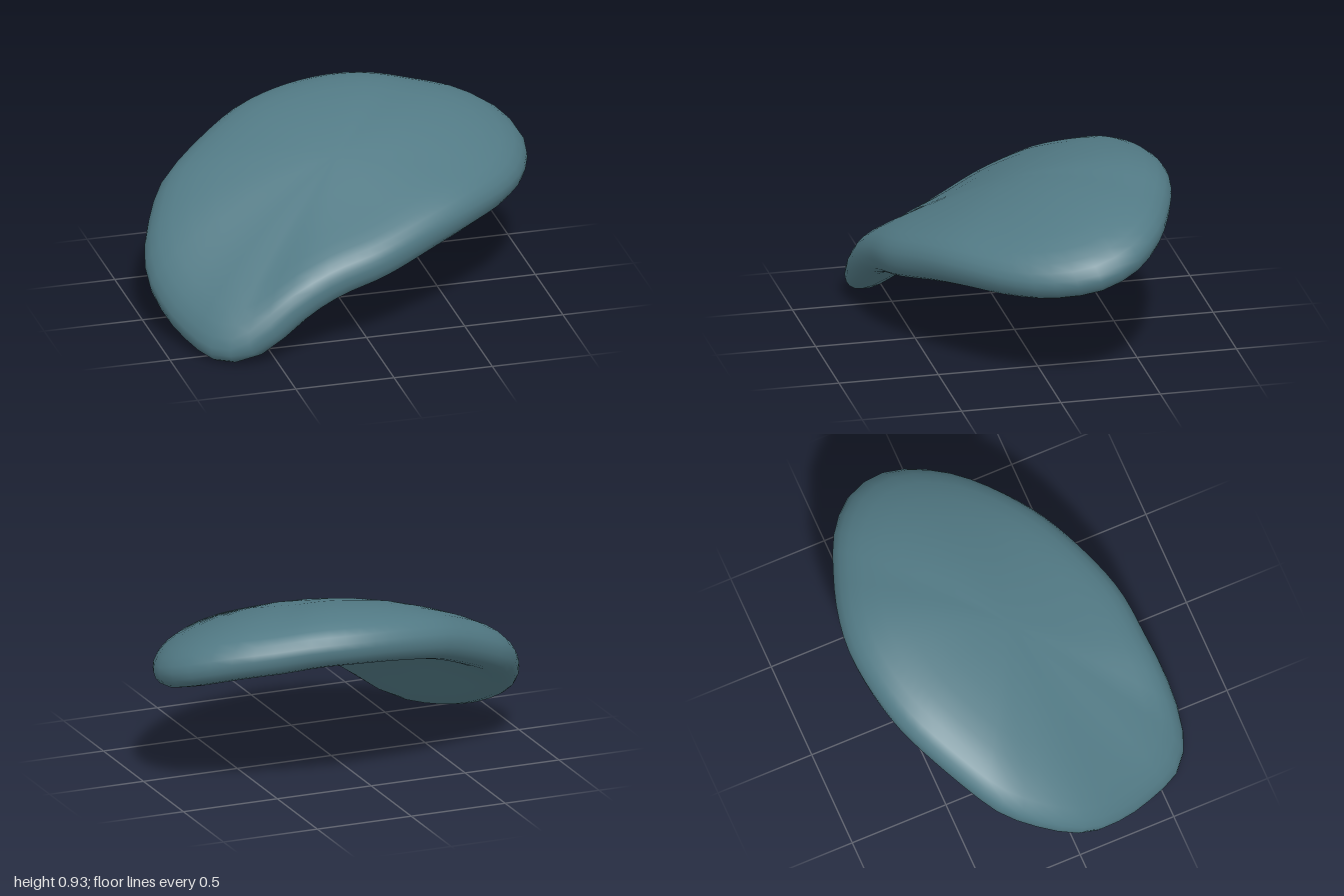
import * as THREE from 'three';
import { mergeVertices } from 'three/addons/utils/BufferGeometryUtils.js';

// Rim of the shell: x, y, z, going round from the left tip
const RIM = [
  [0.995, 0.59, -0.2], [0.93, 0.55, 0.02], [0.8, 0.535, 0.2], [0.57, 0.53, 0.4], [0.35, 0.5, 0.53],
  [0.05, 0.43, 0.655], [-0.2, 0.365, 0.69], [-0.4, 0.27, 0.715], [-0.56, 0.14, 0.715], [-0.68, 0.05, 0.68],
  [-0.8, 0.025, 0.59], [-0.88, 0.055, 0.43], [-0.94, 0.11, 0.28], [-0.985, 0.215, 0.08], [-0.965, 0.315, -0.07],
  [-0.85, 0.47, -0.3], [-0.775, 0.53, -0.38], [-0.4, 0.705, -0.61], [-0.25, 0.74, -0.67], [-0.05, 0.765, -0.715],
  [0.17, 0.775, -0.73], [0.37, 0.77, -0.7], [0.56, 0.745, -0.64], [0.78, 0.71, -0.54], [0.94, 0.65, -0.39],
];
const CENTRE_Y = 0.68, SLOPE_X = 0.17, SLOPE_Z = -0.39;
const SIDES = 60;

const TAU = Math.PI * 2;
const wrap = (a) => ((a % TAU) + TAU) % TAU;
const curve = new THREE.CatmullRomCurve3(RIM.map((p) => new THREE.Vector3(...p)), true);
const samples = curve.getPoints(500).slice(0, -1)
  .map((p) => ({ a: wrap(Math.atan2(p.z, p.x)), r: Math.hypot(p.x, p.z), y: p.y }))
  .sort((p, q) => p.a - q.a);

// Radius and height of the rim in a given direction
function rimAt(angle) {
  const a = wrap(angle), n = samples.length;
  let k = samples.findIndex((s) => s.a > a);
  if (k < 0) k = 0;
  const p = samples[(k + n - 1) % n], q = samples[k];
  const t = wrap(a - p.a) / (wrap(q.a - p.a) || 1);
  return { r: p.r + (q.r - p.r) * t, y: p.y + (q.y - p.y) * t };
}

// How far the rim departs from the tilted base plane
function residual(angle) {
  const { r, y } = rimAt(angle);
  return y - CENTRE_Y - SLOPE_X * r * Math.cos(angle) - SLOPE_Z * r * Math.sin(angle);
}

// Height of the domed middle surface
function midHeight(x, z) {
  const a = Math.atan2(z, x), s = Math.hypot(x, z) / rimAt(a).r;
  const e = residual(a), o = residual(a + Math.PI);
  return CENTRE_Y + SLOPE_X * x + SLOPE_Z * z + (e + o) / 2 * s * s + (e - o) / 2 * s ** 3;
}

// Blunt rounded edge; the underside is hollower towards the middle
const edge = (s) => Math.sqrt(1 - s ** 10);
const topOffset = (s) => 0.13 * edge(s);
const underOffset = (s) => -(0.08 + 0.04 * s * s) * edge(s);

function shellGeometry() {
  const steps = [0, 0.15, 0.3, 0.45, 0.6, 0.72, 0.82, 0.89, 0.94, 0.975, 0.993];
  // Rings run from the top centre, over the rim, to the underside centre
  const rings = [
    ...steps.map((s) => [s, topOffset(s)]),
    [1, 0],
    ...steps.slice().reverse().map((s) => [s, underOffset(s)]),
  ];
  const positions = [], index = [], d = 0.02;
  for (const [s, offset] of rings) {
    for (let i = 0; i < SIDES; i++) {
      const a = (i / SIDES) * TAU, r = rimAt(a).r * s;
      const x = r * Math.cos(a), z = r * Math.sin(a);
      const normal = new THREE.Vector3(
        (midHeight(x - d, z) - midHeight(x + d, z)) / (2 * d), 1,
        (midHeight(x, z - d) - midHeight(x, z + d)) / (2 * d)).normalize();
      positions.push(...new THREE.Vector3(x, midHeight(x, z), z).addScaledVector(normal, offset).toArray());
    }
  }
  for (let j = 0; j < rings.length - 1; j++) {
    for (let i = 0; i < SIDES; i++) {
      const k = (i + 1) % SIDES;
      const a = j * SIDES + i, b = j * SIDES + k, c = a + SIDES, e = b + SIDES;
      if (j > 0) index.push(a, b, c);
      if (j < rings.length - 2) index.push(b, e, c);
    }
  }
  let geometry = new THREE.BufferGeometry();
  geometry.setAttribute('position', new THREE.Float32BufferAttribute(positions, 3));
  geometry.setIndex(index);
  geometry = mergeVertices(geometry, 1e-5);

  // Stand the lowest point on y = 0
  geometry.computeBoundingBox();
  geometry.translate(0, -geometry.boundingBox.min.y, 0);
  geometry.computeVertexNormals();
  return geometry;
}

export function createModel() {
  const group = new THREE.Group();
  group.name = 'curvedShell';
  const shell = new THREE.Mesh(shellGeometry(), new THREE.MeshStandardMaterial({ color: 0x527a85 }));
  shell.name = 'shell';
  group.add(shell);
  return group;
}
